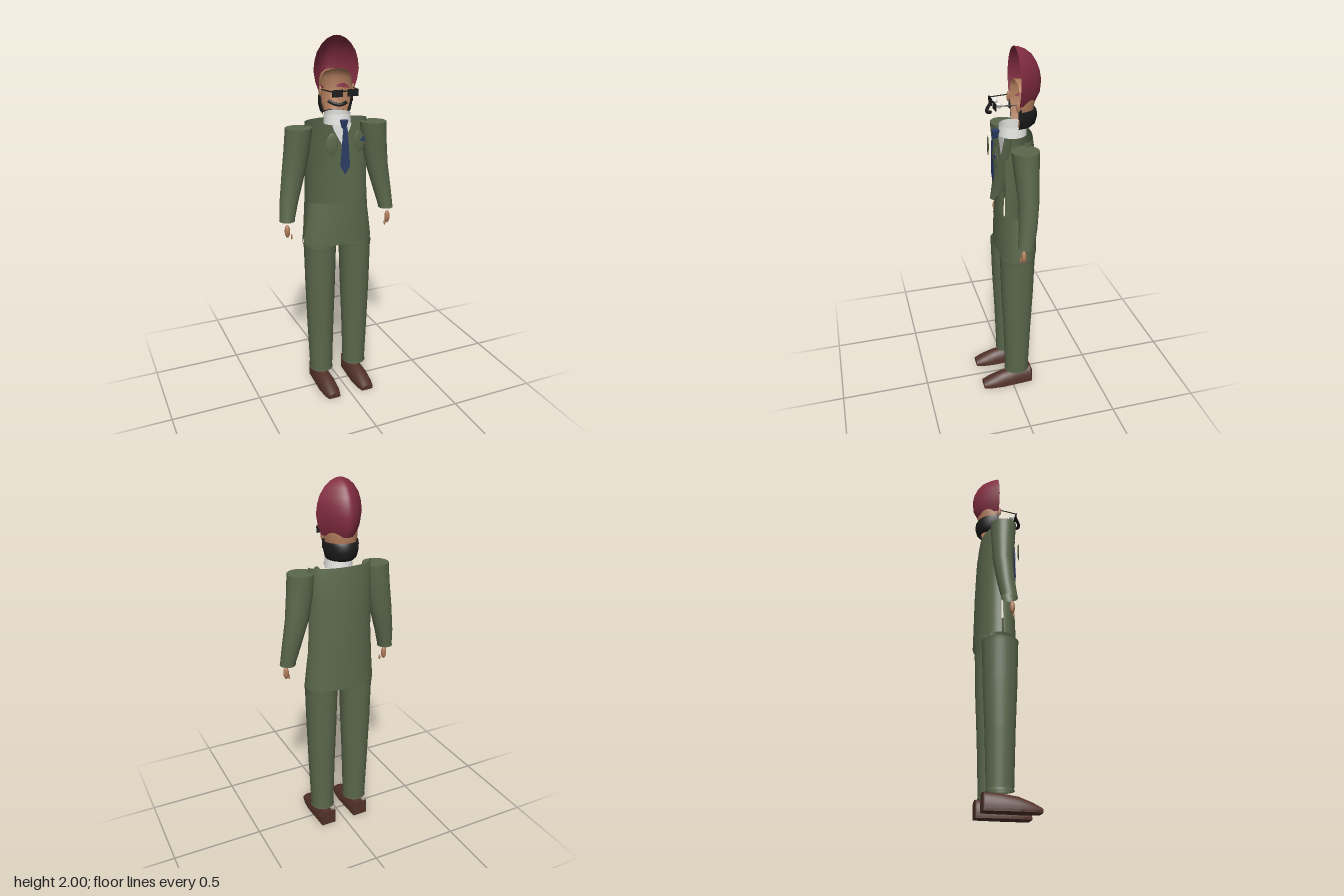
import * as THREE from 'three';

const mat = (name, color) => {
  const m = new THREE.MeshStandardMaterial({ color, side: THREE.DoubleSide });
  m.name = name;
  return m;
};

// Skin of stacked arcs. level = [y, centreX, centreZ, radiusX, radiusZ]
function loft(levels, { from = 0, to = Math.PI * 2, seg = 32, power = 2, cap = false } = {}) {
  const full = to - from > 6.28, n = full ? seg : seg + 1;
  const pos = [], idx = [];
  for (const [y, cx, cz, rx, rz] of levels) {
    for (let j = 0; j < n; j++) {
      const t = from + (to - from) * j / seg, c = Math.cos(t), s = Math.sin(t);
      const k = power === 2 ? Math.abs(s) : 1 - Math.abs(c) ** power;
      pos.push(cx + rx * c, y, cz + rz * Math.sign(s) * k);
    }
  }
  for (let i = 0; i < levels.length - 1; i++) {
    for (let j = 0; j < seg; j++) {
      const a = i * n + j, b = i * n + (j + 1) % n, c = a + n, d = b + n;
      idx.push(a, c, b, b, c, d);
    }
  }
  if (cap) { // flat lid with its own vertices
    const [y, cx, cz] = levels.at(-1), rim = pos.slice(-n * 3), o = pos.length / 3;
    pos.push(...rim, cx, y, cz);
    for (let j = 0; j < seg; j++) idx.push(o + j, o + n, o + (j + 1) % n);
  }
  const g = new THREE.BufferGeometry();
  g.setAttribute('position', new THREE.Float32BufferAttribute(pos, 3));
  g.setIndex(idx);
  g.computeVertexNormals();
  return g;
}

const plate = (pts) => new THREE.ExtrudeGeometry(
  new THREE.Shape(pts.map(([x, y]) => new THREE.Vector2(x, y))), { depth: 0.004, bevelEnabled: false });

export function createModel() {
  const root = new THREE.Group();
  const green = mat('suit green', 0x5b684c), red = mat('turban red', 0x812c40);
  const skin = mat('skin', 0xb17d5c), brown = mat('shoe brown', 0x523229);
  const navy = mat('tie blue', 0x2b3d68), black = mat('black', 0x1c1c1c), white = mat('white', 0xf0f0ee);
  const add = (name, geo, m, x = 0, y = 0, z = 0) => {
    const mesh = new THREE.Mesh(geo, m);
    mesh.name = name;
    mesh.position.set(x, y, z);
    root.add(mesh);
    return mesh;
  };
  const back = { from: Math.PI, to: Math.PI * 2 }, front = { from: 0, to: Math.PI };

  // Jacket: tall back shell and low front panel
  add('jacketBack', loft([
    [0.90, 0, -0.04, 0.2, 0.113], [1.0, 0, -0.04, 0.192, 0.111], [1.2, 0, -0.04, 0.18, 0.108],
    [1.4, 0, -0.04, 0.178, 0.1], [1.52, 0, -0.04, 0.18, 0.088], [1.57, 0, -0.04, 0.176, 0.08]], back), green);
  add('jacketFront', loft([
    [0.90, 0, -0.03, 0.2, 0.1], [1.02, 0, -0.03, 0.185, 0.098], [1.14, 0, -0.03, 0.168, 0.092]], front), green);

  for (const s of [-1, 1]) {
    // Trouser leg, open at both ends
    add('trouserLeg', loft([
      [0.10, s * 0.105, -0.03, 0.068, 0.072], [0.11, s * 0.105, -0.03, 0.065, 0.069],
      [0.4, s * 0.107, -0.03, 0.075, 0.078], [0.65, s * 0.106, -0.03, 0.083, 0.09],
      [0.86, s * 0.105, -0.03, 0.088, 0.096], [0.885, s * 0.105, -0.03, 0.092, 0.098]]), green);

    // Sleeve with a flat shoulder lid
    add('sleeve', loft([
      [1.05, s * 0.295, -0.022, 0.042, 0.044], [1.065, s * 0.293, -0.023, 0.041, 0.043],
      [1.15, s * 0.278, -0.035, 0.05, 0.047], [1.3, s * 0.246, -0.045, 0.063, 0.054],
      [1.42, s * 0.227, -0.04, 0.069, 0.062], [1.52, s * 0.216, -0.036, 0.071, 0.069],
      [1.545, s * 0.215, -0.035, 0.071, 0.07]], { cap: true }), green);

    // Hand and finger
    add('hand', new THREE.SphereGeometry(1, 16, 12).scale(0.015, 0.036, 0.014), skin, s * 0.3, 0.995, -0.008);
    add('finger', new THREE.SphereGeometry(1, 10, 8).scale(0.005, 0.016, 0.006), skin, s * 0.28, 0.965, 0.002);

    // Shoe: domed sections from heel to toe, built upright then laid forward
    const shoe = loft([
      [-0.117, 0, 0, 0.042, 0.082], [-0.03, 0, 0, 0.047, 0.079], [0.06, 0, 0, 0.051, 0.066],
      [0.13, 0, 0, 0.046, 0.04], [0.175, 0, 0, 0.034, 0.016]], { ...back, seg: 16, cap: true });
    shoe.rotateX(Math.PI / 2);
    add('shoe', shoe, brown, s * 0.104, 0.012, 0);
    const sole = new THREE.Shape([[-0.042, -0.117], [0.042, -0.117], [0.051, 0.06], [0.046, 0.13],
      [0.034, 0.175], [-0.034, 0.175], [-0.046, 0.13], [-0.051, 0.06]].map(([x, z]) => new THREE.Vector2(x, z)));
    add('sole', new THREE.ExtrudeGeometry(sole, { depth: 0.012, bevelEnabled: false }).rotateX(Math.PI / 2),
      brown, s * 0.104, 0.012, 0);
    add('heelBack', new THREE.BoxGeometry(0.084, 0.09, 0.004), brown, s * 0.104, 0.045, -0.115);

    // Lapel pocket, eye, ear and glasses
    const pocket = add('lapel', new THREE.SphereGeometry(1, 20, 12).scale(0.032, 0.055, 0.005), green, s * 0.077, 1.472, 0.083);
    pocket.rotation.y = s * 0.2;
    pocket.rotation.z = s * 0.12;
    add('eye', new THREE.SphereGeometry(0.014, 16, 12), white, s * 0.041, 1.725, 0.052);
    add('ear', new THREE.SphereGeometry(1, 12, 10).scale(0.008, 0.028, 0.012), skin, s * 0.092, 1.725, -0.033);
    add('lens', new THREE.BoxGeometry(0.058, 0.036, 0.005), black, s * 0.043, 1.725, 0.076);
    const arm = new THREE.LineCurve3(new THREE.Vector3(s * 0.072, 1.735, 0.076), new THREE.Vector3(s * 0.092, 1.735, -0.035));
    add('glassesArm', new THREE.TubeGeometry(arm, 1, 0.003, 6), black);
  }
  add('glassesBridge', new THREE.BoxGeometry(0.036, 0.006, 0.005), black, 0, 1.735, 0.076);

  // Shirt front, collar, tie and pocket square
  add('collar', loft([[1.555, 0, -0.028, 0.073, 0.074], [1.61, 0, -0.028, 0.069, 0.07]]), white);
  add('shirtFront', plate([[-0.055, 1.56], [-0.045, 1.53], [0, 1.45], [0.045, 1.53], [0.055, 1.56]]), white, 0, 0, 0.03);
  add('tieKnot', new THREE.CylinderGeometry(0.022, 0.012, 0.042, 12), navy, 0, 1.564, 0.061);
  add('tieBlade', plate([[-0.011, 1.55], [-0.027, 1.345], [0, 1.3], [0.027, 1.345], [0.011, 1.55]]), navy, 0, 0, 0.076);
  add('pocketSquare', plate([[0.078, 1.478], [0.108, 1.47], [0.106, 1.488], [0.098, 1.5]]), navy, 0, 0, 0.087);

  // Head shell, beard and turban
  add('head', loft([
    [1.61, 0, -0.04, 0.062, 0.08], [1.66, 0, -0.04, 0.078, 0.092], [1.72, 0, -0.04, 0.088, 0.1],
    [1.78, 0, -0.04, 0.088, 0.098], [1.81, 0, -0.04, 0.076, 0.085], [1.825, 0, -0.04, 0.058, 0.065],
    [1.835, 0, -0.04, 0.001, 0.001]], back), skin);
  add('beard', loft([
    [1.6, 0, -0.04, 0.07, 0.088], [1.615, 0, -0.04, 0.082, 0.106], [1.65, 0, -0.04, 0.091, 0.115],
    [1.68, 0, -0.04, 0.093, 0.112], [1.695, 0, -0.04, 0.092, 0.102]], back), black);
  for (const s of [-1, 1])
    add('sideburn', new THREE.BoxGeometry(0.008, 0.05, 0.014), black, s * 0.091, 1.685, -0.042);
  add('turban', loft([
    [1.725, 0, -0.037, 0.1, 0.11], [1.77, 0, -0.037, 0.117, 0.132], [1.83, 0, -0.037, 0.127, 0.138],
    [1.88, 0, -0.037, 0.12, 0.128], [1.92, 0, -0.037, 0.107, 0.112], [1.96, 0, -0.037, 0.08, 0.085],
    [1.985, 0, -0.037, 0.05, 0.052], [1.997, 0, -0.037, 0.022, 0.022], [2, 0, -0.037, 0.001, 0.001]],
  { ...back, power: 1.7 }), red);

  // Moustache on one side
  const curl = new THREE.CatmullRomCurve3([[-0.09, 1.692, 0.066], [-0.062, 1.676, 0.088], [-0.03, 1.673, 0.096], [0, 1.681, 0.086]]
    .map((p) => new THREE.Vector3(...p)));
  add('moustache', new THREE.TubeGeometry(curl, 16, 0.009, 8), black);

  return root;
}
